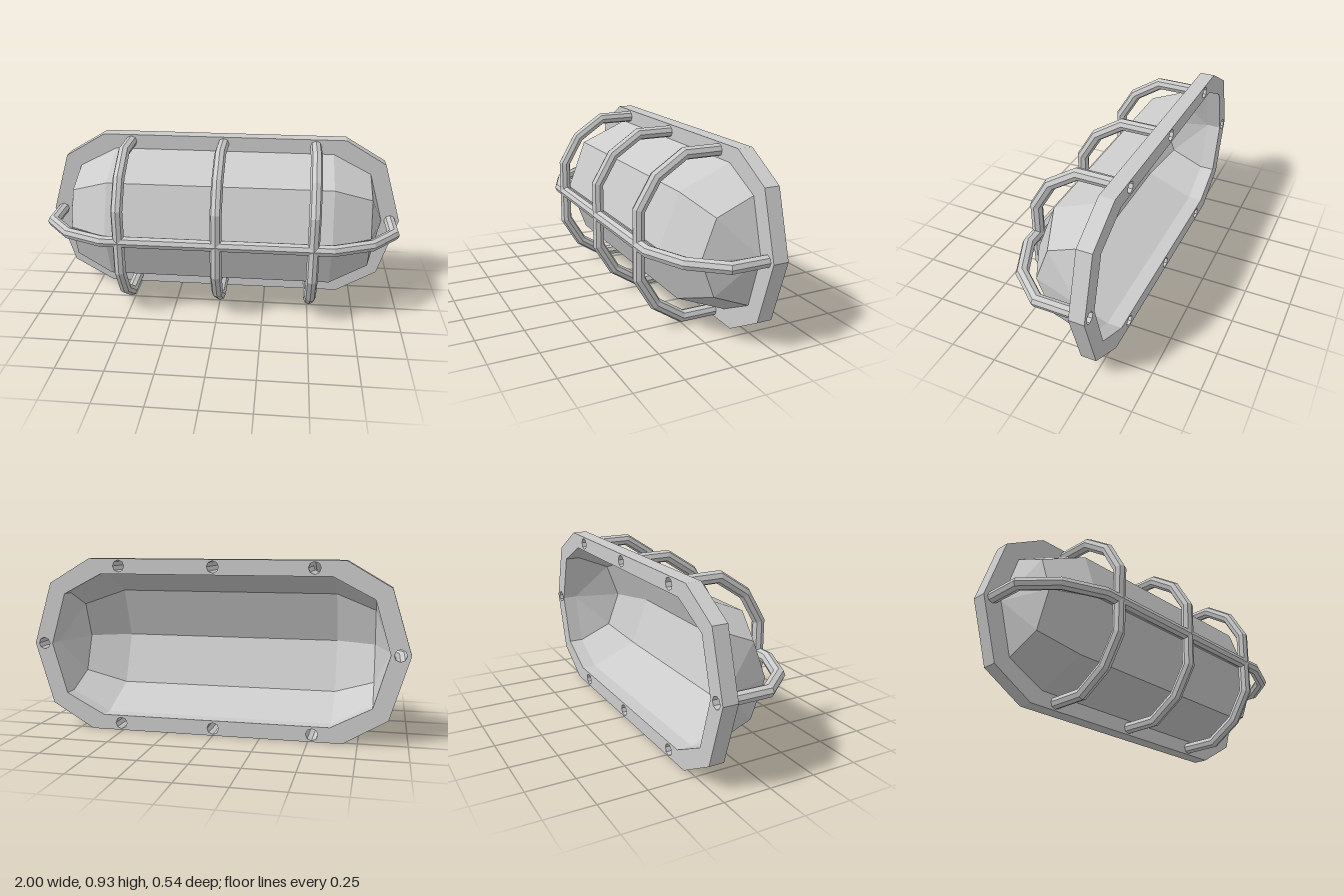
import * as THREE from 'three';

const MID = 0.4625; // height of the lamp's centre line
const BACK = -0.27, FACE = -0.19; // rear and front of the mounting flange
const R = 0.0315, SIDES = 8; // guard bar section
const BAR_X = [-0.52, 0, 0.51];

const material = new THREE.MeshStandardMaterial({ color: 0xcccccc, flatShading: true });
const thin = new THREE.MeshStandardMaterial({ color: 0xcccccc, flatShading: true, side: THREE.DoubleSide });

function named(name, geometry, mat) {
  const mesh = new THREE.Mesh(geometry, mat);
  mesh.name = name;
  return mesh;
}

// Surface through a list of equally long rows of points
function loft(rows) {
  const n = rows[0].length, index = [];
  for (let i = 0; i < rows.length - 1; i++) {
    for (let j = 0; j < n - 1; j++) {
      const a = i * n + j, b = a + 1, c = b + n, d = a + n;
      index.push(a, b, c, a, c, d);
    }
  }
  const g = new THREE.BufferGeometry();
  g.setAttribute('position', new THREE.Float32BufferAttribute(rows.flat(2), 3));
  g.setIndex(index);
  const flat = g.toNonIndexed();
  flat.computeVertexNormals();
  return flat;
}

// Elongated ten-sided outline, symmetric about both axes
function outline(x1, y1, x2, y2, x3) {
  return [[x3, 0], [x2, y2], [x1, y1], [-x1, y1], [-x2, y2], [-x3, 0],
    [-x2, -y2], [-x1, -y1], [x1, -y1], [x2, -y2]].map(([x, y]) => new THREE.Vector2(x, y));
}

// Flange with the lens opening and a socket for each bar end
function makeFlange() {
  const shape = new THREE.Shape(outline(0.675, MID, 0.9, 0.33, 1));
  shape.holes.push(new THREE.Path(outline(0.61, 0.382, 0.82, 0.272, 0.9)));
  const sockets = [[-0.947, 0], [0.947, 0]];
  for (const x of BAR_X) sockets.push([x, 0.424], [x, -0.424]);
  for (const [x, y] of sockets) {
    const pts = [];
    for (let k = 0; k < SIDES; k++) {
      const a = (k / SIDES) * Math.PI * 2;
      pts.push(new THREE.Vector2(x + R * Math.cos(a), y + R * Math.sin(a)));
    }
    shape.holes.push(new THREE.Path(pts));
  }
  const g = new THREE.ExtrudeGeometry(shape, { depth: FACE - BACK, bevelEnabled: false });
  return named('mountingFlange', g.translate(0, MID, BACK), material);
}

// Faceted lens: a half-round section that shrinks towards both tips
function makeLens() {
  const section = [[0.382, 0], [0.27, 0.27], [0, 0.372], [-0.27, 0.27], [-0.382, 0]];
  const columns = [[-0.9, 0], [-0.82, 0.715], [-0.61, 1], [0.61, 1], [0.82, 0.715], [0.9, 0]];
  const rows = columns.map(([x, s]) => section.map(([y, z]) => [x, MID + y * s, FACE + z * s]));
  return named('lens', loft(rows), thin);
}

// Mitred bar along half a path of [across, z] points, mirrored to the other side
function makeBar(name, half, place) {
  const path = [...half, ...half.slice().reverse().map(([u, z]) => [-u, z])]
    .map(([u, z]) => new THREE.Vector2(u, z));
  const rows = path.map((p, i) => {
    const before = p.clone().sub(path[Math.max(i - 1, 0)]).normalize();
    const after = path[Math.min(i + 1, path.length - 1)].clone().sub(p).normalize();
    const dir = before.clone().add(after).normalize();
    const miter = R / dir.dot(i ? before : after);
    const ring = [];
    for (let k = 0; k <= SIDES; k++) {
      const a = (k / SIDES) * Math.PI * 2;
      const c = Math.cos(a) * miter;
      ring.push(place(p.x + dir.y * c, R * Math.sin(a), p.y - dir.x * c));
    }
    return ring;
  });
  return named(name, loft(rows), thin);
}

export function createModel() {
  const model = new THREE.Group();
  model.name = 'bulkheadLamp';
  model.add(makeFlange(), makeLens());

  // Wire guard: three upright hoops and one long bar across them
  const guard = new THREE.Group();
  guard.name = 'guard';
  const hoop = [[0.424, FACE], [0.424, 0], [0.325, 0.15], [0.174, 0.24]];
  for (const x of BAR_X) {
    guard.add(makeBar('guardHoop', hoop, (u, s, z) => [x - s, MID + u, z]));
  }
  const rail = [[0.947, FACE], [0.947, 0], [0.815, 0.155], [0.613, 0.24]];
  guard.add(makeBar('guardRail', rail, (u, s, z) => [u, MID + s, z]));
  model.add(guard);
  return model;
}
